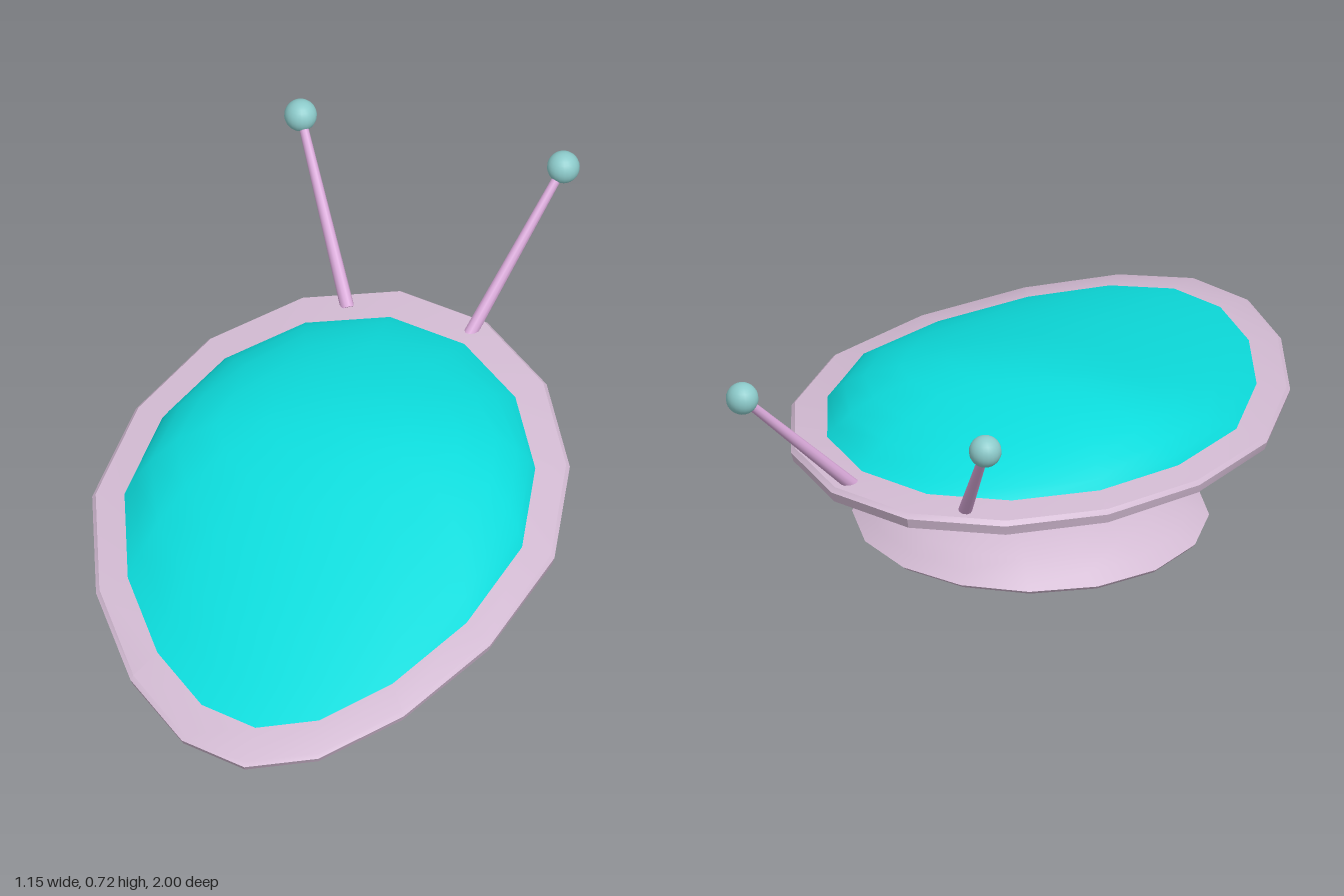
import * as THREE from 'three';
import { toCreasedNormals } from 'three/addons/utils/BufferGeometryUtils.js';

const MID = 0.115; // z centre of the egg-shaped outline
const half = [[0, -0.76], [0.23, -0.69], [0.42, -0.5], [0.54, -0.22], [0.575, 0.11],
  [0.49, 0.45], [0.34, 0.74], [0.17, 0.93], [0, 0.995]];
const outline = [...half, ...half.slice(1, -1).reverse().map(([x, z]) => [-x, z])];

// tilted top and bottom planes of the rim
const topY = (z) => 0.19 + 0.094 * (1 - z);
const bottomY = (z) => 0.17 + 0.084 * (1 - z);

// one egg-shaped ring; yOf gives the height for each z
function eggRing(sx, sz, centre, yOf) {
  return outline.map(([x, z]) => {
    const pz = centre + (z - MID) * sz;
    return [x * sx, yOf(pz), pz];
  });
}

// skin consecutive rings, ordered from the top outward and down
function loft(rings, crease) {
  const pos = [];
  const same = (a, b) => a.every((v, i) => Math.abs(v - b[i]) < 1e-6);
  const tri = (a, b, c) => {
    if (!same(a, b) && !same(b, c) && !same(a, c)) pos.push(...a, ...b, ...c);
  };
  for (let r = 0; r < rings.length - 1; r++) {
    const a = rings[r], b = rings[r + 1], n = a.length;
    for (let i = 0; i < n; i++) {
      const j = (i + 1) % n;
      tri(a[i], a[j], b[j]);
      tri(a[i], b[j], b[i]);
    }
  }
  const g = new THREE.BufferGeometry();
  g.setAttribute('position', new THREE.Float32BufferAttribute(pos, 3));
  return toCreasedNormals(g, crease);
}

export function createModel() {
  const group = new THREE.Group();
  const mat = (color) => new THREE.MeshStandardMaterial({ color, side: THREE.DoubleSide });
  const shell = mat(0xd3bbd3), glass = mat(0x0cdcdc), rod = mat(0xd8a8d8), ball = mat(0x8ccaca);
  const add = (name, geometry, material) => {
    const m = new THREE.Mesh(geometry, material);
    m.name = name;
    group.add(m);
    return m;
  };

  // bulge levels: height fraction, x scale, z scale, ring centre z
  const levels = [[1, 0, 0, -0.07], [0.94, 0.36, 0.18, -0.065], [0.79, 0.61, 0.34, -0.05],
    [0.57, 0.79, 0.56, -0.01], [0.34, 0.9, 0.75, 0.04], [0.15, 0.965, 0.895, 0.08], [0, 1, 1, MID]];
  const bulge = (height, plane, scale) => levels.map(([h, sx, sz, c]) => {
    const ring = eggRing(sx * scale, sz * scale, c, (z) => plane(z) + h * height);
    // the tip is a single point
    return sx === 0 ? ring.map(() => [0, plane(c) + height, c]) : ring;
  });

  add('dome', loft(bulge(0.142, (z) => topY(z) + 0.012, 0.86), 0.7), glass);
  add('hull', loft(bulge(-0.152, (z) => bottomY(z) - 0.014, 0.86).reverse(), 0.7), shell);

  // flat rim with a bevelled edge
  add('rim', loft([
    eggRing(0.855, 0.855, MID, (z) => topY(z) + 0.012),
    eggRing(0.985, 0.985, MID, topY),
    eggRing(1, 1, MID, (z) => topY(z) * 0.7 + bottomY(z) * 0.3),
    eggRing(0.99, 0.99, MID, bottomY),
    eggRing(0.875, 0.875, MID, (z) => bottomY(z) - 0.004),
    eggRing(0.86, 0.86, MID, (z) => bottomY(z) - 0.014),
  ], 0.5), shell);

  // pedestal: low mound leaning back, hollowed underneath
  const profile = [[0, 0.112, -0.09], [0.14, 0.109, -0.085], [0.24, 0.096, -0.065], [0.33, 0.068, -0.04],
    [0.39, 0.038, -0.02], [0.435, 0.012, -0.005], [0.425, 0, 0], [0.28, 0.003, 0], [0.15, 0.025, 0], [0, 0.035, 0]];
  const sides = 16;
  add('pedestal', loft(profile.map(([r, y, c]) => Array.from({ length: sides }, (_, i) => {
    const a = (i / sides) * Math.PI * 2;
    return [r * Math.sin(a), y, c - r * 0.98 * Math.cos(a)];
  })), 0.55), shell);

  // two slightly uneven antennae with ball tips
  const antennae = [
    ['right', [-0.112, 0.345, -0.665], [-0.295, 0.683, -0.963]],
    ['left', [0.197, 0.335, -0.63], [0.37, 0.67, -0.913]],
  ];
  for (const [side, from, to] of antennae) {
    const a = new THREE.Vector3(...from), b = new THREE.Vector3(...to);
    const dir = b.clone().sub(a);
    const stalk = add(side + 'Antenna', new THREE.CylinderGeometry(0.011, 0.017, dir.length(), 10), rod);
    stalk.position.copy(a).add(b).multiplyScalar(0.5);
    stalk.quaternion.setFromUnitVectors(new THREE.Vector3(0, 1, 0), dir.normalize());
    add(side + 'AntennaBall', new THREE.SphereGeometry(0.04, 20, 14), ball).position.copy(b);
  }
  return group;
}
